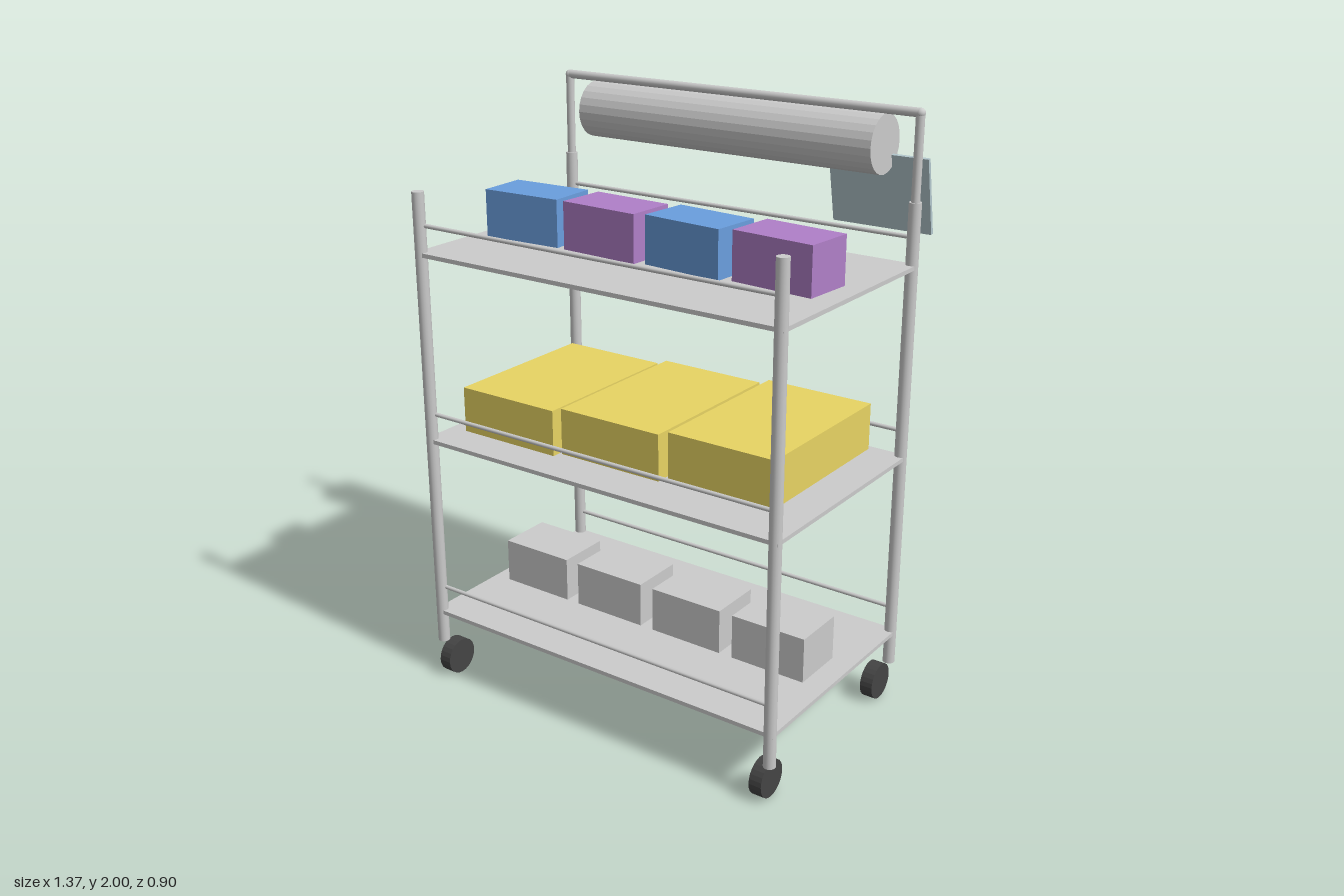
import * as THREE from 'three';

const material = (color, flatShading = false) => new THREE.MeshStandardMaterial({ color, flatShading });
const METAL = material(0xcccccc);
const PAPER = material(0xcccccc, true);
const SHELF = material(0xc8c8cc);
const RUBBER = material(0x444444, true);
const CARD = material(0xb4c8ce);
const BLUE = material(0x6a9ede);
const PURPLE = material(0xb07fc8);
const YELLOW = material(0xe8d463);

const POST_X = 0.667, FRONT_Z = 0.42, BACK_Z = -0.345;
const MID_Z = (FRONT_Z + BACK_Z) / 2;

export function createModel() {
  const model = new THREE.Group();
  model.name = 'utilityCart';

  const add = (name, geometry, mat, x, y, z) => {
    const mesh = new THREE.Mesh(geometry, mat);
    mesh.name = name;
    mesh.position.set(x, y, z);
    model.add(mesh);
    return mesh;
  };
  const box = (name, mat, w, h, d, x, y, z) =>
    add(name, new THREE.BoxGeometry(w, h, d), mat, x, y, z);
  // Upright tube between two heights
  const upright = (name, r, y0, y1, x, z) =>
    add(name, new THREE.CylinderGeometry(r, r, y1 - y0, 16), METAL, x, (y0 + y1) / 2, z);
  // Cylinder lying along x
  const lying = (name, mat, r, length, x, y, z, sides = 16) =>
    add(name, new THREE.CylinderGeometry(r, r, length, sides).rotateZ(Math.PI / 2), mat, x, y, z);

  // Corner posts, wheels and handle uprights
  for (const side of [-1, 1]) {
    const sideName = side > 0 ? 'left' : 'right';
    for (const [end, z, wheelZ] of [['Front', FRONT_Z, 0.391], ['Back', BACK_Z, -0.307]]) {
      upright(`${sideName}${end}Post`, 0.02, 0.13, 1.715, side * POST_X, z);
      lying(`${sideName}${end}Wheel`, RUBBER, 0.062, 0.044, side * 0.637, 0.066, wheelZ, 24);
    }
    upright(`${sideName}HandleUpright`, 0.014, 1.715, 1.985, side * POST_X, BACK_Z);
    // Rounded corner of the handle
    add(`${sideName}HandleCorner`, new THREE.SphereGeometry(0.0155, 14, 10), METAL, side * POST_X, 1.984, BACK_Z);
  }
  lying('handleBar', METAL, 0.0145, POST_X * 2, 0, 1.985, BACK_Z);

  // Shelves, each with a front and a back rail
  for (const [name, y] of [['bottom', 0.243], ['middle', 0.878], ['top', 1.513]]) {
    box(`${name}Shelf`, SHELF, 1.365, 0.014, 0.79, 0, y, MID_Z);
    lying(`${name}FrontRail`, METAL, 0.007, POST_X * 2, 0, y + 0.093, 0.415, 10);
    lying(`${name}BackRail`, METAL, 0.007, POST_X * 2, 0, y + 0.093, BACK_Z, 10);
  }

  // Paper roll under the handle
  lying('paperRoll', PAPER, 0.094, 1.11, 0, 1.879, BACK_Z, 24);

  // Thin card hanging tilted at the back
  box('hangingCard', CARD, 0.347, 0.248, 0.012, 0.507, 1.718, -0.421).rotation.x = 0.2;

  // Slightly turned boxes on the top shelf
  const turned = [[-0.48, 0.053], [-0.16, -0.042], [0.157, -0.082], [0.474, -0.075]];
  turned.forEach(([x, turn], i) => {
    box('topShelfBox', i % 2 ? PURPLE : BLUE, 0.284, 0.156, 0.171, x, 1.603, 0.069).rotation.y = turn;
  });

  // Wide boxes on the middle shelf, stepping up along x
  for (let i = 0; i < 3; i++) {
    box('middleShelfBox', YELLOW, 0.378, 0.154, 0.57, (i - 1) * 0.414, 0.972 + i * 0.016, 0.041);
  }

  // Small boxes on the bottom shelf
  for (let i = 0; i < 4; i++) {
    box('bottomShelfBox', METAL, 0.268, 0.153, 0.188, (i - 1.5) * 0.317, 0.336, 0.041);
  }

  return model;
}
